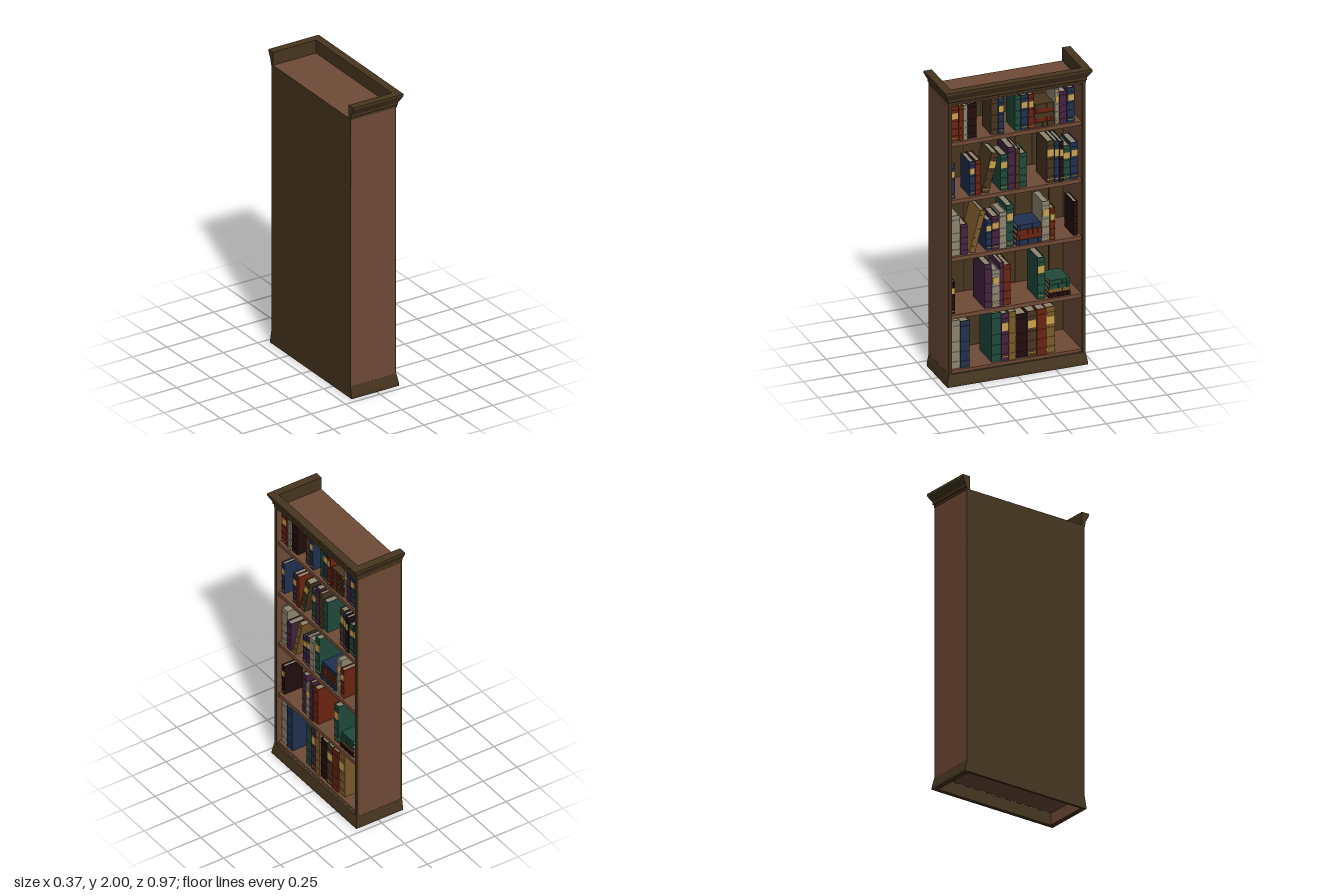
import * as THREE from 'three';

const mat = (name, color) => Object.assign(new THREE.MeshStandardMaterial({ color }), { name });
const M = {
  wood: mat('brown wood', 0x704b37),
  dark: mat('dark wood', 0x47351f),
  red: mat('red leather', 0x6a2310),
  blue: mat('blue leather', 0x20304f),
  green: mat('green leather', 0x1f4a3a),
  purple: mat('purple leather', 0x44233f),
  cream: mat('cream paper', 0x8e8570),
  tan: mat('tan leather', 0x7b5a2a),
  gold: mat('gold', 0xc9a24c),
  black: mat('black leather', 0x220d0e),
};

const BACK = -0.183, FRONT = 0.15, HALF = 0.45;
// Standard book thicknesses
const THIN = 0.028, SLIM = 0.036, MID = 0.047, WIDE = 0.061;

// Box given by its lower and upper corners
function box(parent, name, material, x0, x1, y0, y1, z0, z1) {
  const m = new THREE.Mesh(new THREE.BoxGeometry(x1 - x0, y1 - y0, z1 - z0), material);
  m.position.set((x0 + x1) / 2, (y0 + y1) / 2, (z0 + z1) / 2);
  m.name = name;
  parent.add(m);
}

// Mitred moulding round both sides and the front; profile = [outward offset, y], counter-clockwise
function moulding(parent, name, profile) {
  const rings = [0, 1, 2, 3].map(i => profile.map(([o, y]) => new THREE.Vector3(
    i === 0 || i === 3 ? BACK : FRONT + o, y, (i < 2 ? 1 : -1) * (HALF + o))));
  const points = [];
  for (let i = 0; i < 3; i++) {
    profile.forEach((_, j) => {
      const k = (j + 1) % profile.length;
      const a = rings[i][j], b = rings[i + 1][j], c = rings[i + 1][k], d = rings[i][k];
      points.push(a, b, c, a, c, d);
    });
  }
  const caps = THREE.ShapeUtils.triangulateShape(profile.map(p => new THREE.Vector2(...p)), []);
  for (const [a, b, c] of caps) {
    points.push(rings[0][a], rings[0][b], rings[0][c], rings[3][a], rings[3][c], rings[3][b]);
  }
  const g = new THREE.BufferGeometry().setFromPoints(points);
  g.computeVertexNormals();
  const m = new THREE.Mesh(g, M.dark);
  m.name = name;
  parent.add(m);
}

// Book standing on its origin, spine towards +x
function makeBook(w, h, color, label, depth = Math.min(0.2, h * 0.64)) {
  const g = new THREE.Group();
  g.name = 'book';
  const t = Math.min(0.005, w * 0.14), s = w / 2, cover = M[color];
  for (const side of [-1, 1]) {
    const z = side * (s - t / 2);
    box(g, 'coverBoard', cover, -depth, 0, 0, h, z - t / 2, z + t / 2);
  }
  box(g, 'spine', cover, -0.006, 0, 0, h, -s + t, s - t);
  box(g, 'pages', M.cream, -depth + 0.005, -0.006, 0.004, h - 0.005, -s + t, s - t);
  for (const f of [0.14, 0.34, 0.55, 0.88]) {
    box(g, 'spineRib', cover, 0, 0.004, h * f - 0.003, h * f + 0.003, -s, s);
  }
  if (label) {
    box(g, 'label', M.gold, 0, 0.003, h * 0.63, h * 0.8, -s * 0.88, s * 0.88);
    box(g, 'footLine', M.gold, 0, 0.003, h * 0.075, h * 0.09, -s * 0.88, s * 0.88);
  }
  return g;
}

// Row of touching books from its left end z; each book = [colour, thickness, height, label]
function addRun(shelf, z, ...books) {
  books.forEach(([color, w, h = 0.235, label], i) => {
    const b = makeBook(w, h, color, label);
    b.position.set(0.114 + (i % 3) * 0.005, 0, z - w / 2);
    shelf.add(b);
    z -= w + 0.001;
  });
}

// Book tipped over towards the model's right
function addLeaning(shelf, z, color, w, h, label) {
  const b = makeBook(w, h, color, label);
  b.rotation.x = -0.26;
  b.position.set(0.118, Math.sin(0.26) * w / 2, z);
  shelf.add(b);
}

// Pile of lying books centred on z, lowest colour first, each a little shorter
function addStack(shelf, z, length, t, ...colors) {
  colors.forEach((color, i) => {
    const l = length * (1 - 0.03 * i);
    const b = makeBook(t, l, color, false, 0.15);
    b.rotation.x = Math.PI / 2;
    b.position.set(0.12 - (i % 2) * 0.006, (i + 0.5) * t, z - l / 2);
    shelf.add(b);
  });
}

// Shelf board with a group standing on it for the books
function addShelf(model, y, thickness = 0.027) {
  box(model, 'shelf', M.wood, BACK + 0.015, 0.135, y - thickness, y, -0.43, 0.43);
  const group = new THREE.Group();
  group.name = 'shelfBooks';
  group.position.y = y;
  model.add(group);
  return group;
}

export function createModel() {
  const model = new THREE.Group();
  model.name = 'bookcase';

  // Carcass: sides with dark front stiles, top and grooved back
  for (const s of [-1, 1]) {
    const z = s * (HALF - 0.01);
    box(model, 'sidePanel', M.wood, BACK + 0.004, FRONT - 0.01, 0.001, 1.909, z - 0.01, z + 0.01);
    box(model, 'frontStile', M.dark, FRONT - 0.01, FRONT, 0.07, 1.92, z - 0.01, z + 0.01);
  }
  box(model, 'topPanel', M.wood, BACK + 0.001, 0.135, 1.89, 1.911, -0.431, 0.431);
  box(model, 'backPanel', M.dark, BACK, BACK + 0.015, 0.001, 1.909, -HALF, HALF);
  for (let i = -3; i <= 3; i++) {
    const z = i * 0.1125;
    box(model, 'boardGroove', M.black, BACK + 0.015, BACK + 0.016, 0.1, 1.89, z - 0.002, z + 0.002);
  }

  // Plinth and crown
  moulding(model, 'plinth', [[-0.014, 0], [0.013, 0], [0.012, 0.02], [0.001, 0.08], [-0.014, 0.08]]);
  moulding(model, 'crown', [[-0.02, 1.905], [0.003, 1.905], [0.003, 1.92], [0.008, 1.925], [0.008, 1.94],
    [0.014, 1.95], [0.033, 1.985], [0.033, 2], [-0.02, 2]]);

  // Bottom shelf
  const first = addShelf(model, 0.098, 0.018);
  addRun(first, 0.423, ['cream', WIDE, 0.325], ['blue', WIDE, 0.315]);
  addRun(first, 0.153, ['green', WIDE, 0.33], ['purple', MID, 0.32, true], ['tan', MID, 0.325],
    ['black', 0.074, 0.295], ['dark', WIDE, 0.305, true], ['red', WIDE, 0.31], ['tan', WIDE, 0.31, true]);

  // Second shelf
  const second = addShelf(model, 0.472);
  addRun(second, 0.423, ['black', THIN, 0.215, true]);
  addRun(second, 0.2, ['purple', MID, 0.295], ['cream', MID, 0.25, true], ['purple', THIN, 0.295], ['red', MID, 0.27]);
  addRun(second, -0.15, ['green', MID, 0.28, true]);
  addStack(second, -0.293, 0.144, THIN, 'black', 'tan', 'green', 'green');

  // Third shelf
  const third = addShelf(model, 0.862);
  addRun(third, 0.423, ['cream', WIDE, 0.27], ['purple', MID, 0.205]);
  addLeaning(third, 0.283, 'tan', SLIM, 0.28);
  addRun(third, 0.19, ['blue', SLIM, 0.205, true], ['purple', MID, 0.225, true], ['cream', MID, 0.245],
    ['green', MID, 0.28, true]);
  addStack(third, -0.093, 0.168, 0.033, 'blue', 'red', 'red', 'blue');
  addRun(third, -0.18, ['cream', MID, 0.265, true], ['red', SLIM, 0.215, true]);
  addRun(third, -0.386, ['black', THIN, 0.23]);

  // Fourth shelf
  const fourth = addShelf(model, 1.25);
  addRun(fourth, 0.423, ['blue', THIN, 0.23, true]);
  addRun(fourth, 0.3, ['blue', SLIM, 0.23, true], ['red', SLIM]);
  addLeaning(fourth, 0.198, 'dark', MID, 0.265, true);
  addRun(fourth, 0.095, ['green', MID, 0.24, true], ['purple', MID, 0.285], ['dark', THIN, 0.27], ['green', MID, 0.23]);
  addRun(fourth, -0.212, ['dark', MID, 0.28, true], ['blue', THIN, 0.275, true], ['black', THIN, 0.27, true],
    ['green', MID, 0.23, true], ['blue', MID, 0.245, true]);

  // Top shelf, books of one height
  const fifth = addShelf(model, 1.639);
  const even = (color, w, label) => [color, w, undefined, label];
  addRun(fifth, 0.42, even('red', MID, true), even('red', THIN), even('cream', THIN), even('black', WIDE));
  addRun(fifth, 0.157, even('dark', MID), even('blue', SLIM, true));
  addRun(fifth, 0, even('green', SLIM), even('blue', MID, true), even('red', SLIM, true));
  addStack(fifth, -0.191, 0.138, 0.031, 'dark', 'red', 'dark', 'red', 'dark');
  addRun(fifth, -0.264, even('cream', THIN, true), ['purple', MID, 0.215], even('blue', MID, true));
  return model;
}
